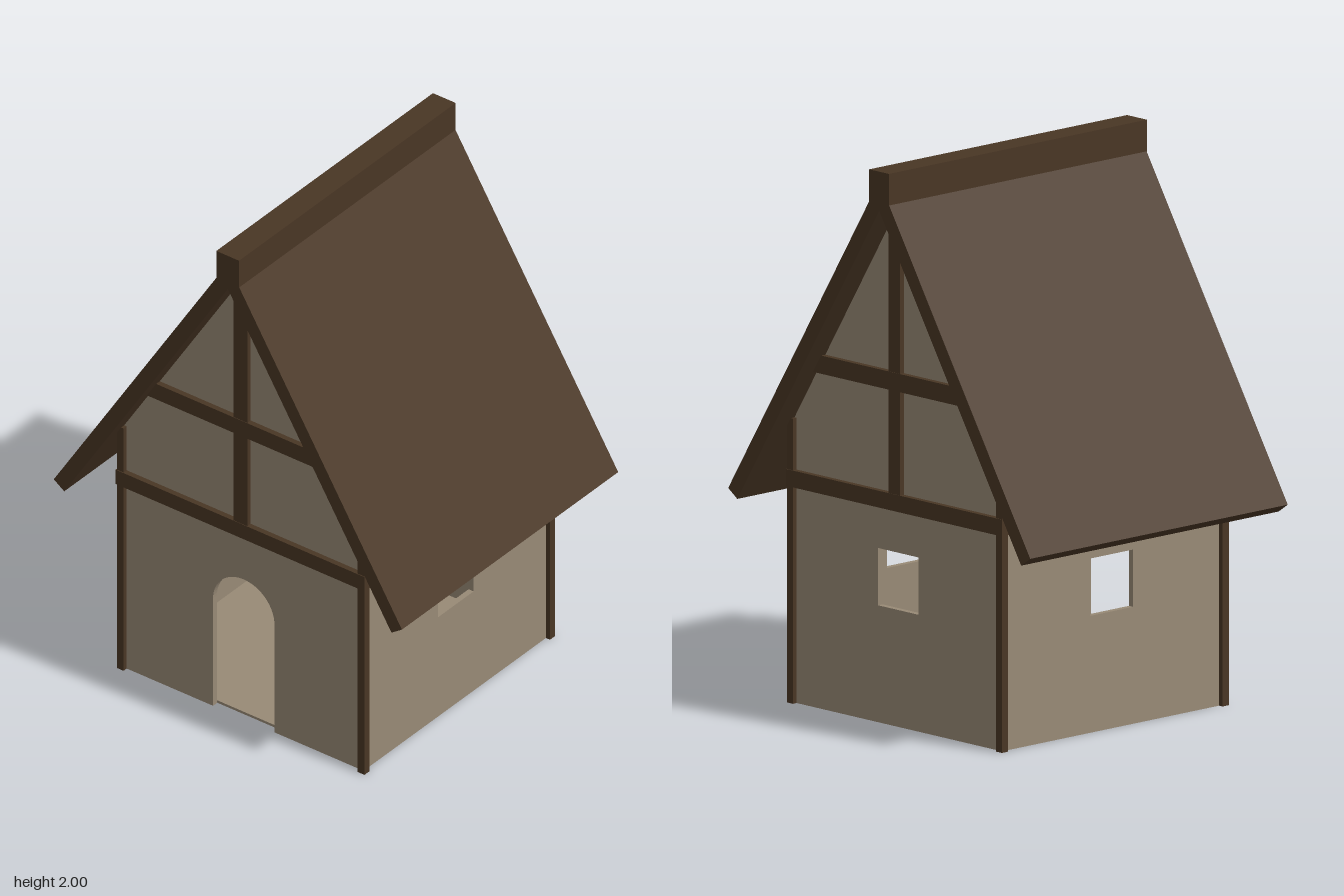
import * as THREE from 'three';

const WALL = 0.527;      // outer wall plane
const THICK = 0.022;     // wall thickness
const PEAK = 1.86;       // underside of the roof at the middle
const SLOPE = 1.597;     // roof rise per unit of x
const underRoof = (x) => PEAK - SLOPE * Math.abs(x);

export function createModel() {
  const house = new THREE.Group();
  house.name = 'house';

  const plaster = new THREE.MeshStandardMaterial({ color: 0x988a76 });
  plaster.name = 'plaster';
  const timber = new THREE.MeshStandardMaterial({ color: 0x493624 });
  timber.name = 'dark timber';

  const add = (name, geometry, material) => {
    const mesh = new THREE.Mesh(geometry, material);
    mesh.name = name;
    house.add(mesh);
    return mesh;
  };
  const box = (name, w, h, d, x, y, z, material = timber) =>
    add(name, new THREE.BoxGeometry(w, h, d).translate(x, y, z), material);
  const extrude = (shape, depth) =>
    new THREE.ExtrudeGeometry(shape, { depth, bevelEnabled: false, curveSegments: 16 });
  const polygon = (points) => new THREE.Shape(points.map(([x, y]) => new THREE.Vector2(x, y)));
  const windowHole = () => {
    const hole = new THREE.Path();
    hole.moveTo(-0.102, 0.418).lineTo(-0.102, 0.623).lineTo(0.102, 0.623).lineTo(0.102, 0.418);
    hole.closePath();
    return hole;
  };

  // Gable walls: arched doorway in front, window at the back
  const eave = underRoof(WALL);
  const front = new THREE.Shape();
  front.moveTo(-WALL, 0).lineTo(-0.135, 0).lineTo(-0.135, 0.453);
  front.absarc(0, 0.453, 0.135, Math.PI, 0, true);
  front.lineTo(0.135, 0).lineTo(WALL, 0).lineTo(WALL, eave).lineTo(0, PEAK).lineTo(-WALL, eave);
  front.closePath();
  add('frontWall', extrude(front, THICK).translate(0, 0, WALL - THICK), plaster);

  const back = polygon([[-WALL, 0], [WALL, 0], [WALL, eave], [0, PEAK], [-WALL, eave]]);
  back.holes.push(windowHole());
  add('backWall', extrude(back, THICK).translate(0, 0, -WALL), plaster);

  // Side walls with one window each
  const inner = WALL - THICK;
  for (const side of [-1, 1]) {
    const wall = polygon([[-inner, 0], [inner, 0], [inner, eave], [-inner, eave]]);
    wall.holes.push(windowHole());
    const geometry = extrude(wall, THICK).rotateY(Math.PI / 2);
    geometry.translate(side > 0 ? inner : -WALL, 0, 0);
    add(side > 0 ? 'leftWall' : 'rightWall', geometry, plaster);
  }

  // Floor slab
  box('floor', inner * 2, 0.01, inner * 2, 0, 0.007, 0, plaster);

  // Corner posts
  for (const x of [-0.53, 0.53]) {
    for (const z of [-0.53, 0.53]) box('cornerPost', 0.03, 1.02, 0.03, x, 0.51, z);
  }

  // Gable framing: tie beam, collar beam and king post
  for (const z of [-0.53, 0.53]) {
    box('tieBeam', 1.096, 0.06, 0.036, 0, 0.805, z);
    const collar = polygon([
      [-underX(1.205), 1.205], [underX(1.205), 1.205], [underX(1.27), 1.27], [-underX(1.27), 1.27],
    ]);
    add('collarBeam', extrude(collar, 0.036).translate(0, 0, z - 0.018), timber);
    box('kingPost', 0.06, 1.03, 0.032, 0, 1.345, z);
  }

  // Side beams below the eaves
  for (const x of [-0.53, 0.53]) box('sideBeam', 0.036, 0.06, 1.06, x, 0.805, 0);

  // Roof slopes with overhanging eaves
  for (const side of [-1, 1]) {
    const slope = polygon([
      [0, PEAK], [side * 0.72, underRoof(0.72)], [side * 0.766, 0.742], [0, 1.967],
    ]);
    add(side > 0 ? 'leftRoof' : 'rightRoof', extrude(slope, 1.236).translate(0, 0, -0.618), timber);
  }

  // Ridge beam
  box('ridge', 0.1, 0.12, 1.238, 0, 1.94, 0);

  return house;
}

// Half width under the roof at a given height
function underX(y) {
  return (PEAK - y) / SLOPE;
}
